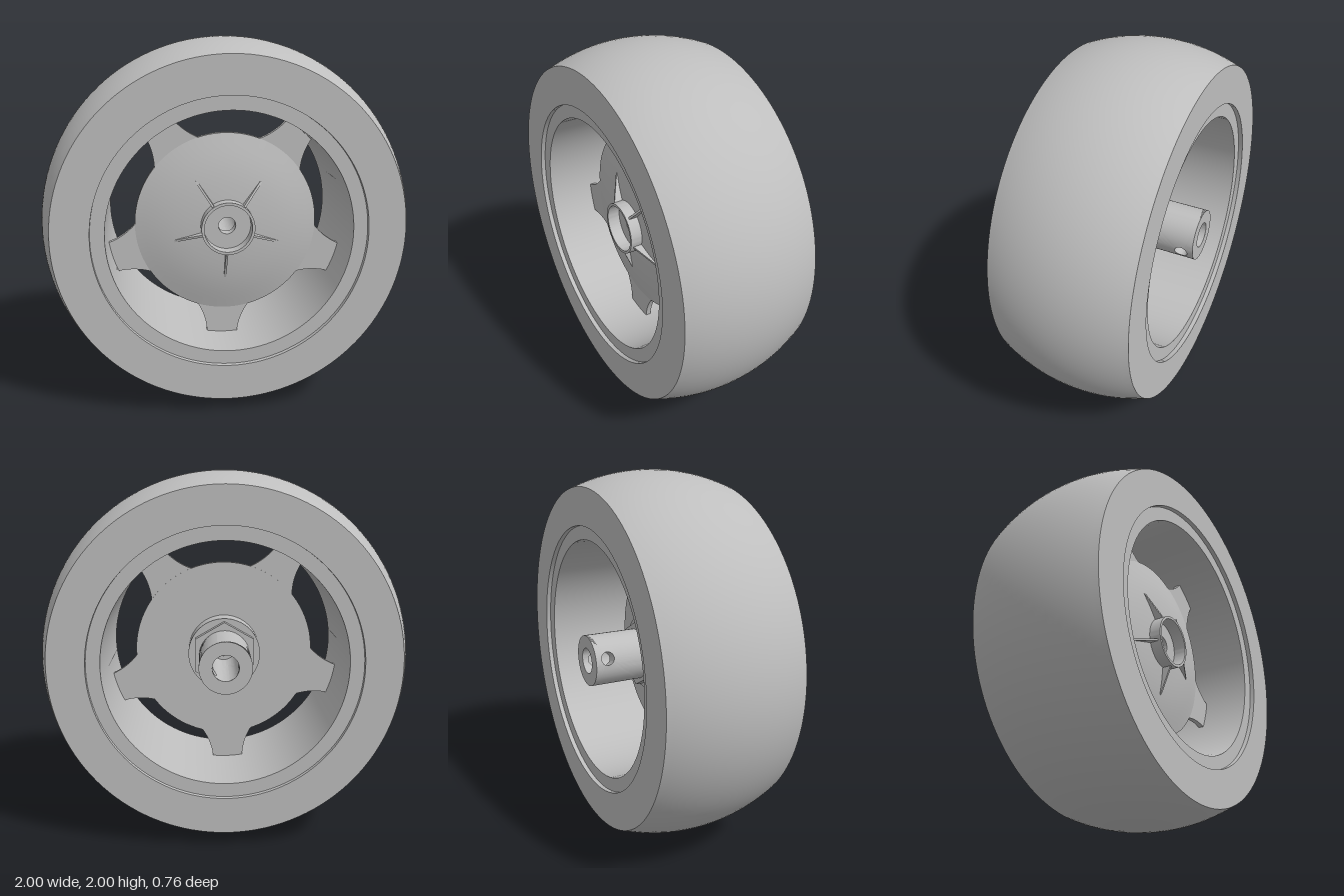
import * as THREE from 'three';
import { toCreasedNormals } from 'three/addons/utils/BufferGeometryUtils.js';

const grey = new THREE.MeshStandardMaterial({ color: 0xbebebe });
grey.name = 'plain grey';

const SPOKES = 5;
const START = THREE.MathUtils.degToRad(268);

function part(name, geometry, crease = 0.45) {
  const mesh = new THREE.Mesh(toCreasedNormals(geometry, crease), grey);
  mesh.name = name;
  return mesh;
}

// Turned part around the z axle, from [radius, z] points (outside runs towards +z)
function turned(name, points, segments = 96, crease = 0.45) {
  const profile = points.map(([r, z]) => new THREE.Vector2(r, z));
  const geometry = new THREE.LatheGeometry(profile, segments);
  geometry.rotateX(Math.PI / 2);
  return part(name, geometry, crease);
}

// Half of a tube wall, drilled through its middle; lofted from bore edge, through the hole, to outer edge
function drilledHalfTube(angle, bore, outer, z0, z1, holeZ, holeR) {
  const N = 96, M = 8, rows = [];
  for (let j = 0; j <= M; j++) rows.push([bore, 1 - j / M]);
  for (let j = 0; j <= M; j++) rows.push([outer, j / M]);
  const positions = [], index = [];
  rows.forEach(([R, k], j) => {
    for (let i = 0; i <= N; i++) {
      const t = (i / N) * Math.PI * 2, c = Math.cos(t), s = Math.sin(t);
      const m = 1 / Math.max(Math.abs(c), Math.abs(s));
      const edgeZ = s > 0 ? s * m * (z1 - holeZ) : s * m * (holeZ - z0);
      const u = angle + THREE.MathUtils.lerp(Math.asin(holeR * c / R), c * m * Math.PI / 2, k);
      const z = holeZ + THREE.MathUtils.lerp(holeR * s, edgeZ, k);
      positions.push(R * Math.cos(u), R * Math.sin(u), z);
      if (i < N && j < rows.length - 1) {
        const a = j * (N + 1) + i, b = a + N + 1;
        index.push(a, b, a + 1, b, b + 1, a + 1);
      }
    }
  });
  const geometry = new THREE.BufferGeometry();
  geometry.setAttribute('position', new THREE.Float32BufferAttribute(positions, 3));
  geometry.setIndex(index);
  return geometry;
}

export function createModel() {
  const wheel = new THREE.Group();
  wheel.name = 'wheel';

  // Tyre with a crowned tread
  const back = -0.37, front = 0.38, mid = 0.005;
  const tyre = [[0.725, back]];
  const R = 0.975;
  for (let i = 0; i <= 24; i++) {
    const z = back + (front - back) * i / 24;
    tyre.push([1 - R + Math.sqrt(R * R - (z - mid) ** 2), z]);
  }
  tyre.push([0.725, front], [0.725, back]);
  wheel.add(turned('tyre', tyre, 128));

  // Rim barrel, set slightly inside the tyre faces
  wheel.add(turned('rim', [
    [0.65, -0.345], [0.727, -0.345], [0.727, 0.355], [0.65, 0.355], [0.65, -0.345],
  ], 128));

  // Domed hub with a rear flange and a front collar
  wheel.add(turned('hub', [
    [0.07, 0.1], [0.07, -0.05], [0.2, -0.05], [0.2, 0.065], [0.5, 0.065], [0.5, 0.098],
    [0.45, 0.112], [0.4, 0.126], [0.34, 0.14], [0.29, 0.149], [0.22, 0.159], [0.145, 0.165],
    [0.145, 0.23], [0.13, 0.23], [0.13, 0.16], [0.047, 0.16], [0.047, 0.1], [0.07, 0.1],
  ]));

  // Hexagonal collar behind the flange
  wheel.add(turned('hexCollar', [
    [0.135, -0.09], [0.185, -0.09], [0.185, -0.045], [0.135, -0.045], [0.135, -0.09],
  ], 6));

  // Hollow axle sleeve with a cross hole, and its end face
  const holeAngle = THREE.MathUtils.degToRad(162);
  for (const angle of [holeAngle, holeAngle + Math.PI]) {
    wheel.add(part('axleSleeve', drilledHalfTube(angle, 0.07, 0.14, -0.38, -0.045, -0.312, 0.036)));
  }
  const end = new THREE.RingGeometry(0.07, 0.14, 64);
  end.rotateY(Math.PI);
  end.translate(0, 0, -0.38);
  wheel.add(part('axleEnd', end));

  // Spokes with concave sides
  const spokeShape = new THREE.Shape();
  spokeShape.moveTo(0.46, -0.155);
  spokeShape.quadraticCurveTo(0.55, -0.09, 0.66, -0.085);
  spokeShape.lineTo(0.66, 0.085);
  spokeShape.quadraticCurveTo(0.55, 0.09, 0.46, 0.155);
  spokeShape.closePath();
  const spokeGeometry = new THREE.ExtrudeGeometry(spokeShape, { depth: 0.03, bevelEnabled: false, curveSegments: 10 });
  spokeGeometry.translate(0, 0, 0.068);

  // Tapered fins bracing the front collar
  const finShape = new THREE.Shape();
  finShape.moveTo(0.14, 0.14);
  finShape.lineTo(0.3, 0.14);
  finShape.lineTo(0.3, 0.15);
  finShape.lineTo(0.14, 0.215);
  finShape.closePath();
  const finGeometry = new THREE.ExtrudeGeometry(finShape, { depth: 0.012, bevelEnabled: false });
  finGeometry.translate(0, 0, -0.006);
  finGeometry.rotateX(Math.PI / 2);

  for (let i = 0; i < SPOKES; i++) {
    const angle = START + (i / SPOKES) * Math.PI * 2;
    const spoke = part('spoke', spokeGeometry);
    const fin = part('fin', finGeometry);
    spoke.rotation.z = fin.rotation.z = angle;
    wheel.add(spoke, fin);
  }

  wheel.position.y = 1;
  const model = new THREE.Group();
  model.name = 'wheelModel';
  model.add(wheel);
  return model;
}
